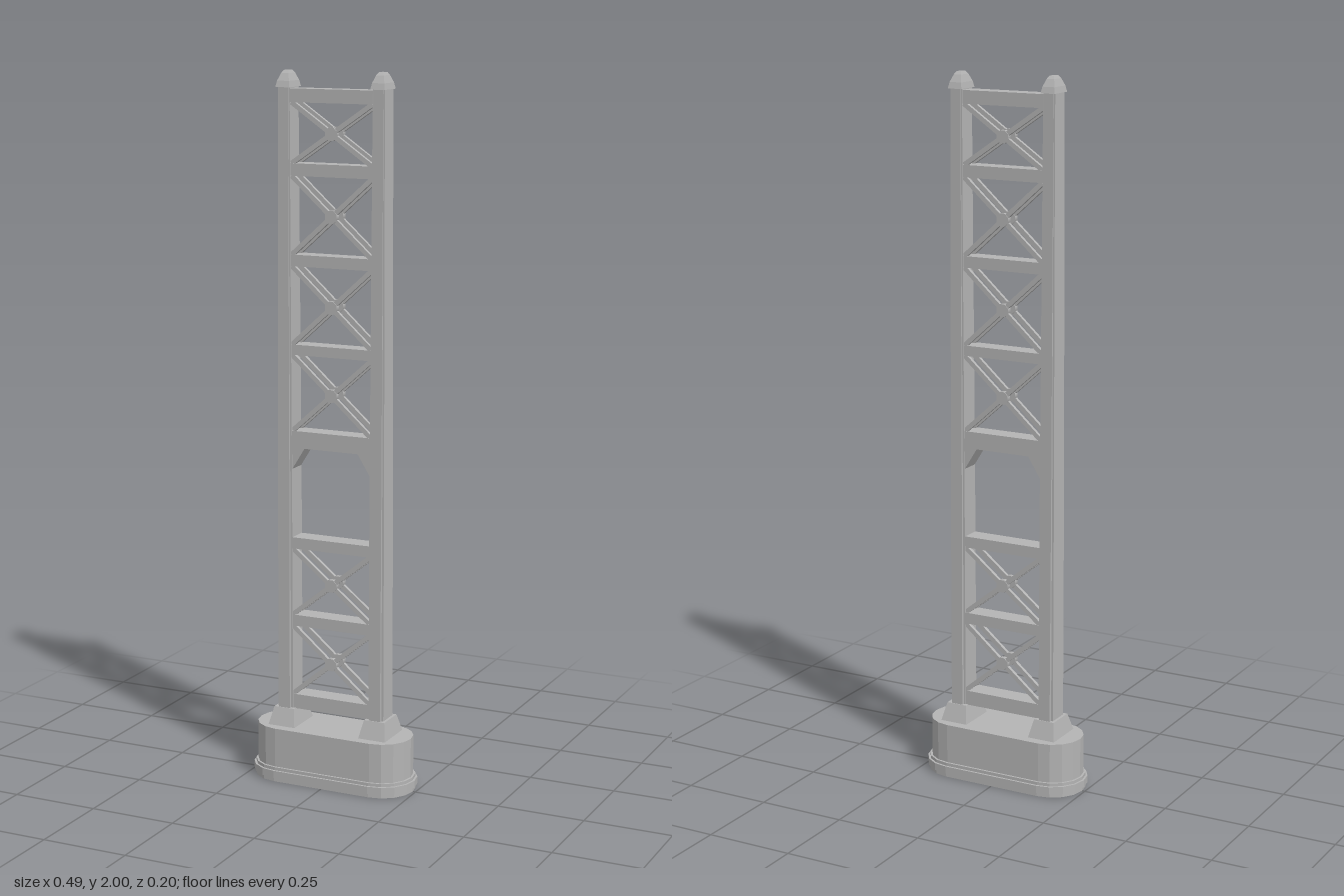
import * as THREE from 'three';

const COLUMN_X = 0.141;

export function createModel() {
  const grey = new THREE.MeshStandardMaterial({ color: 0xb4b4b4 });
  grey.name = 'steel grey';
  const tower = new THREE.Group();
  tower.name = 'bridgeTower';

  const add = (name, geometry, x = 0, y = 0, z = 0, parent = tower) => {
    const mesh = new THREE.Mesh(geometry, grey);
    mesh.name = name;
    mesh.position.set(x, y, z);
    parent.add(mesh);
    return mesh;
  };

  // Box from y0 to y1 whose half sizes change from [x, z] below to [x, z] above
  const taperedBox = (y0, y1, below, above) => {
    const g = new THREE.BoxGeometry(2, y1 - y0, 2);
    const p = g.attributes.position;
    for (let i = 0; i < p.count; i++) {
      const half = p.getY(i) < 0 ? below : above;
      p.setX(i, p.getX(i) * half[0]);
      p.setZ(i, p.getZ(i) * half[1]);
    }
    g.computeVertexNormals();
    return g.translate(0, (y0 + y1) / 2, 0);
  };

  // Slab with rounded ends, facetted in eight steps per end
  const pierSlab = (name, radius, y0, y1) => {
    const points = [];
    for (const side of [1, -1]) {
      for (let i = 0; i <= 8; i++) {
        const a = -Math.PI / 2 + (i * Math.PI) / 8;
        points.push(new THREE.Vector2(side * (0.147 + radius * Math.cos(a)), side * radius * Math.sin(a)));
      }
    }
    const g = new THREE.ExtrudeGeometry(new THREE.Shape(points), { depth: y1 - y0, bevelEnabled: false });
    add(name, g.rotateX(-Math.PI / 2), 0, y0, 0);
  };
  pierSlab('pierFoot', 0.095, 0, 0.012);
  pierSlab('pierFlange', 0.1, 0.012, 0.033);
  pierSlab('pierRim', 0.094, 0.033, 0.042);
  pierSlab('pierBody', 0.088, 0.042, 0.155);

  // Columns: cross-shaped legs that narrow in tiers
  const tiers = [
    // y, wide half x, wide half z, deep half x, deep half z
    [0.2, 0.023, 0.031, 0.017, 0.04],
    [0.88, 0.022, 0.03, 0.0165, 0.036],
    [1.35, 0.02, 0.029, 0.0155, 0.033],
    [1.9, 0.018, 0.027, 0.014, 0.029],
    [1.957, 0.018, 0.026, 0.014, 0.029],
  ];
  const capLevels = [
    [1.955, 0.021, 0.036],
    [1.972, 0.018, 0.031],
    [1.992, 0.011, 0.02],
    [2.0, 0.007, 0.012],
  ];
  for (const side of [1, -1]) {
    const column = new THREE.Group();
    column.name = side > 0 ? 'leftColumn' : 'rightColumn';
    column.position.x = side * COLUMN_X;
    tower.add(column);
    add('plinth', taperedBox(0.155, 0.205, [0.041, 0.06], [0.031, 0.042]), 0, 0, 0, column);
    for (let i = 0; i < tiers.length - 1; i++) {
      const a = tiers[i], b = tiers[i + 1];
      add('columnWeb', taperedBox(a[0], b[0], [a[1], a[2]], [b[1], b[2]]), 0, 0, 0, column);
      add('columnRib', taperedBox(a[0], b[0], [a[3], a[4]], [b[3], b[4]]), 0, 0, 0, column);
    }
    for (let i = 0; i < capLevels.length - 1; i++) {
      const [y0, ...below] = capLevels[i], [y1, ...above] = capLevels[i + 1];
      add('cap', taperedBox(y0, y1, below, above), 0, 0, 0, column);
    }
  }

  // Half depth of the bracing, slimmer toward the top
  const depthAt = (y) => 0.031 - 0.0025 * y;

  // Cross beams
  const beams = [
    [0.204, 0.246], [0.448, 0.48], [0.673, 0.705], [0.962, 1.01],
    [1.224, 1.253], [1.47, 1.502], [1.717, 1.751], [1.915, 1.952],
  ];
  for (const [y0, y1] of beams) {
    const d = depthAt(y0) - 0.001;
    add('crossBeam', taperedBox(y0, y1, [0.126, d], [0.126, d]));
  }

  // Haunches under the portal beam
  for (const side of [1, -1]) {
    const shape = new THREE.Shape([
      new THREE.Vector2(side * 0.08, 0.964),
      new THREE.Vector2(side * 0.12, 0.9),
      new THREE.Vector2(side * 0.13, 0.9),
      new THREE.Vector2(side * 0.13, 0.964),
    ]);
    const d = depthAt(0.96) - 0.001;
    add('portalHaunch', new THREE.ExtrudeGeometry(shape, { depth: 2 * d, bevelEnabled: false }), 0, 0, -d);
  }

  // Crossed braces on the front and back of every panel, except the open portal
  for (let i = 0; i < beams.length - 1; i++) {
    if (i === 2) continue;
    const y0 = beams[i][1], y1 = beams[i + 1][0], mid = (y0 + y1) / 2;
    const height = y1 - y0, width = 0.24;
    for (const face of [1, -1]) {
      const z = face * (depthAt(mid) - 0.007);
      for (const lean of [1, -1]) {
        const bar = add('brace', new THREE.BoxGeometry(Math.hypot(width, height), 0.013, 0.01), 0, mid, z);
        bar.rotation.z = lean * Math.atan2(height, width);
      }
      const hub = new THREE.CylinderGeometry(0.019, 0.019, 0.014, 8).rotateX(Math.PI / 2).rotateZ(Math.PI / 8);
      add('braceHub', hub, 0, mid, z);
    }
  }
  return tower;
}
